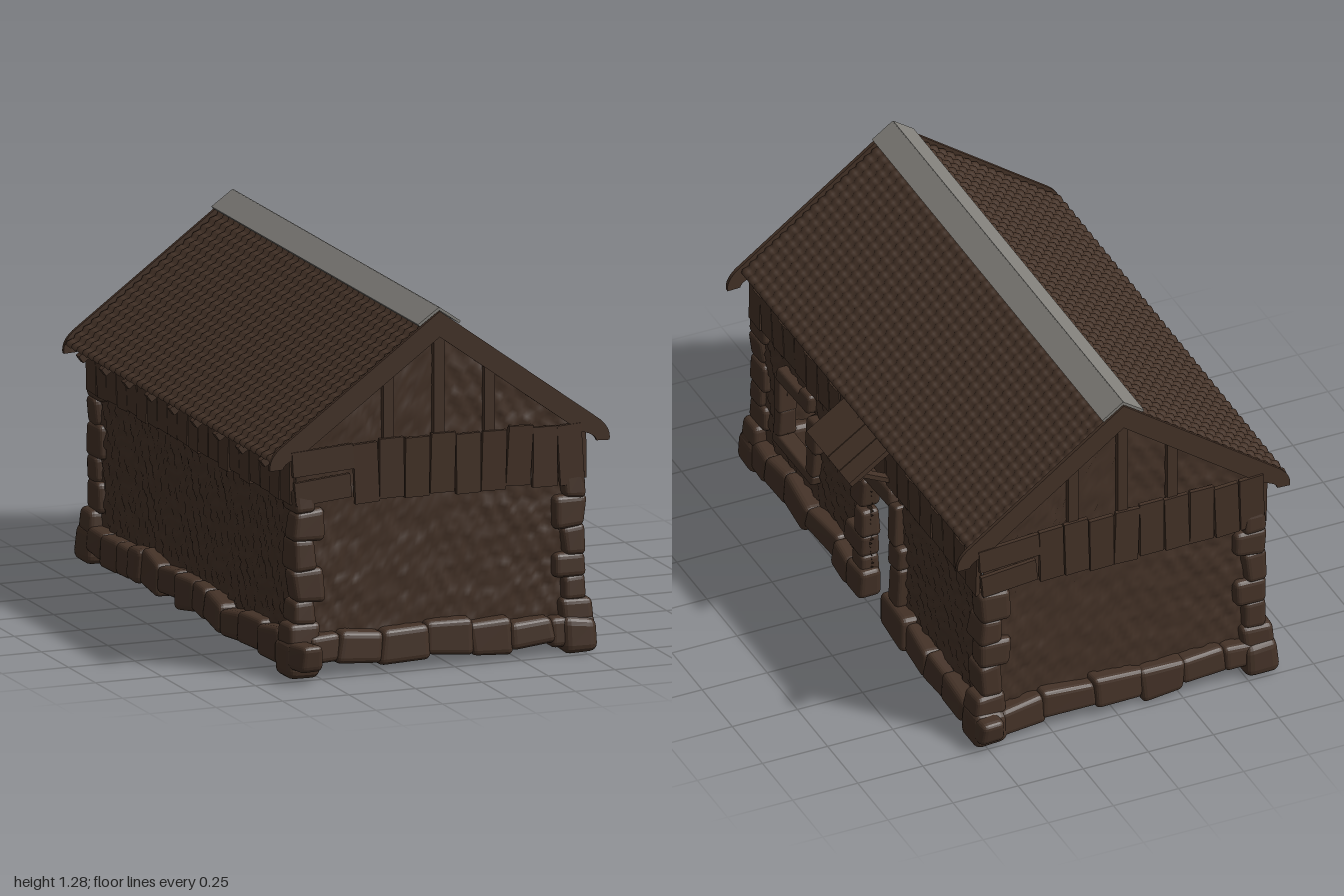
import * as THREE from 'three';
import { RoundedBoxGeometry } from 'three/addons/geometries/RoundedBoxGeometry.js';

const brown = new THREE.MeshStandardMaterial({ color: 0x443227, side: THREE.DoubleSide });
brown.name = 'dark brown';
const grey = new THREE.MeshStandardMaterial({ color: 0x83817c, side: THREE.DoubleSide });
grey.name = 'ridge grey';

const CX = -0.04;      // ridge line
const PITCH = 0.73;    // roof fall per unit of run
const HALF_X = 0.525, HALF_Z = 0.93;

function add(parent, name, geometry, material = brown) {
  const mesh = new THREE.Mesh(geometry, material);
  mesh.name = name;
  parent.add(mesh);
  return mesh;
}

export function createModel() {
  let seed = 7;
  const rnd = (a = 0, b = 1) => {
    seed = (seed * 16807) % 2147483647;
    return a + (b - a) * seed / 2147483647;
  };
  const model = new THREE.Group();
  model.name = 'cottage';

  const box = (parent, name, x, y, z, w, h, d, tilt = 0) => {
    const m = add(parent, name, new THREE.BoxGeometry(w, h, d));
    m.position.set(x, y, z);
    m.rotation.z = tilt;
    return m;
  };

  // Rounded stone, tapered and sheared so that no two are alike
  const stone = (parent, name, x, y, z, w, h, d, tilt = 0.06) => {
    const g = new RoundedBoxGeometry(w, h, d, 2, Math.min(w, h, d) * 0.24);
    const p = g.attributes.position;
    const a = rnd(-0.18, 0.18), b = rnd(-0.2, 0.2), c = rnd(-0.1, 0.1);
    for (let i = 0; i < p.count; i++) {
      const u = p.getX(i) / w, v = p.getY(i) / h;
      p.setXYZ(i, p.getX(i) * (1 + a * v) + c * v * h, p.getY(i) * (1 + b * u), p.getZ(i) * (1 - 0.15 * v));
    }
    g.computeVertexNormals();
    const m = add(parent, name, g);
    m.position.set(x, y, z);
    m.rotation.set(0, rnd(-tilt, tilt), rnd(-tilt, tilt));
    return m;
  };

  // Rough plaster sheet with rectangular openings [x0, x1, y0, y1]
  const roughWall = (half, base, top, openings) => {
    const nx = Math.round(half * 2 / 0.017), ny = 46;
    const g = new THREE.PlaneGeometry(half * 2, 1, nx, ny);
    const p = g.attributes.position;
    for (let i = 0; i < p.count; i++) {
      const x = p.getX(i), t = p.getY(i) + 0.5;
      const y = base + t * (top(x) - base);
      const lump = Math.sin(52 * x + 2.5 * Math.sin(31 * y)) * Math.sin(85 * y + 2 * Math.sin(29 * x))
        + 0.5 * Math.sin(97 * x + 60 * y);
      p.setXYZ(i, x, y, 0.006 * lump);
    }
    const kept = [], idx = g.index.array;
    for (let i = 0; i < idx.length; i += 3) {
      const tri = [idx[i], idx[i + 1], idx[i + 2]];
      const x = tri.reduce((s, k) => s + p.getX(k), 0) / 3;
      const y = tri.reduce((s, k) => s + p.getY(k), 0) / 3;
      if (!openings.some(o => x > o[0] && x < o[1] && y > o[2] && y < o[3])) kept.push(...tri);
    }
    g.setIndex(kept);
    g.computeVertexNormals();
    return g;
  };

  // One side of the house: local x runs along the wall, local z points outward
  const buildSide = (name, half, dist, angle, isGable, openings) => {
    const side = new THREE.Group();
    side.name = name;
    side.position.set(CX + Math.sin(angle) * dist, 0, Math.cos(angle) * dist);
    side.rotation.y = angle;
    model.add(side);
    const top = isGable ? x => 1.25 - PITCH * Math.abs(x) : () => 0.84;
    add(side, 'roughWall', roughWall(half, 0.07, top, openings));

    // Footing stones, left out in front of a doorway
    for (let x = -half + 0.04; x < half - 0.04;) {
      const w = rnd(0.1, 0.21), mid = x + w / 2;
      const blocked = openings.some(o => o[2] < 0.1 && mid > o[0] - 0.04 && mid < o[1] + 0.04);
      if (!blocked) stone(side, 'footingStone', mid, rnd(0.085, 0.11), 0.01, w + 0.015, rnd(0.09, 0.13), rnd(0.08, 0.1), 0.1);
      x += w;
    }

    // Weatherboard skirt below the eaves
    const end = half + 0.015;
    let x = -end;
    if (isGable) {
      box(side, 'cornerBoard', -end + 0.1, 0.78, 0.026, 0.23, 0.09, 0.016, 0.06);
      box(side, 'cornerBoard', -end + 0.1, 0.675, 0.026, 0.21, 0.085, 0.016, 0.09);
      x += 0.215;
    }
    const n = Math.round((end - x) / 0.093), step = (end - x) / n;
    for (let i = 0; i < n; i++) {
      const b = box(side, 'skirtBoard', x + step * (i + 0.5), 0.726 + rnd(-0.008, 0.008), 0.025,
        step - 0.005, isGable ? 0.215 : 0.2, 0.016, rnd(-0.06, 0.06));
      b.rotation.x = rnd(-0.02, 0.05);
    }
    box(side, 'wallPlate', 0, 0.8, -0.03, half * 2, 0.05, 0.04);

    if (isGable) {
      for (const px of [-0.19, 0, 0.19])
        box(side, 'gablePost', px, (0.8 + 1.22 - PITCH * Math.abs(px)) / 2, 0.012,
          0.038, 0.42 - PITCH * Math.abs(px), 0.024);
      // Barge boards with a rounded drop at the eaves
      for (const s of [-1, 1]) {
        const shape = new THREE.Shape();
        shape.moveTo(0, 1.275);
        shape.lineTo(s * 0.6, 0.837);
        shape.quadraticCurveTo(s * 0.645, 0.8, s * 0.638, 0.758);
        shape.lineTo(s * 0.59, 0.76);
        shape.quadraticCurveTo(s * 0.585, 0.785, s * 0.53, 0.797);
        shape.lineTo(0, 1.183);
        const board = add(side, 'bargeBoard', new THREE.ExtrudeGeometry(shape, { depth: 0.014, bevelEnabled: false }));
        board.position.z = 0.016;
      }
    }
    return side;
  };

  const windowHole = [-0.69, -0.48, 0.27, 0.51];
  const doorHole = [0, 0.215, 0, 0.54];
  buildSide('frontWall', HALF_X, HALF_Z, 0, true, []);
  buildSide('backWall', HALF_X, HALF_Z, Math.PI, true, []);
  buildSide('leftWall', HALF_Z, HALF_X, -Math.PI / 2, false, []).name = 'plainLongWall';
  const entrance = buildSide('entranceWall', HALF_Z, HALF_X, Math.PI / 2, false, [windowHole, doorHole]);

  // Door and window surrounds: x, y, width, height
  const doorStones = [
    [-0.08, 0.235, 0.15, 0.09], [-0.045, 0.13, 0.09, 0.14], [-0.035, 0.33, 0.07, 0.11], [-0.05, 0.46, 0.1, 0.13],
    [0.26, 0.12, 0.1, 0.1], [0.255, 0.24, 0.08, 0.16], [0.255, 0.365, 0.09, 0.1], [0.24, 0.49, 0.06, 0.16],
    [0.07, 0.575, 0.3, 0.075]];
  const windowStones = [
    [-0.585, 0.255, 0.32, 0.04], [-0.445, 0.33, 0.06, 0.12], [-0.44, 0.44, 0.08, 0.13],
    [-0.715, 0.33, 0.05, 0.12], [-0.715, 0.45, 0.045, 0.15], [-0.6, 0.535, 0.24, 0.05], [-0.5, 0.55, 0.085, 0.075]];
  for (const [x, y, w, h] of doorStones) stone(entrance, 'doorStone', x, y, 0, w, h, 0.075, 0.03);
  for (const [x, y, w, h] of windowStones) stone(entrance, 'windowStone', x, y, 0, w, h, 0.07, 0.03);

  // Corner stones, with a broad foot at each corner
  for (const sx of [-1, 1]) for (const sz of [-1, 1]) {
    const corner = new THREE.Group();
    corner.name = 'cornerStones';
    corner.position.set(CX + sx * HALF_X, 0, sz * HALF_Z);
    model.add(corner);
    stone(corner, 'cornerFoot', -sx * 0.005, 0.075, 0, 0.13, 0.13, 0.135);
    stone(corner, 'cornerFoot', -sx * 0.01, 0.16, -sz * 0.01, 0.12, 0.09, 0.11);
    for (let y = 0.2, i = 0; y < 0.6; i++) {
      const h = rnd(0.07, 0.12), wide = i % 2;
      const w = wide ? 0.12 : 0.085, d = wide ? 0.09 : 0.12;
      stone(corner, 'cornerStone', sx * (0.02 - w / 2 + 0.005), y + h / 2, sz * (0.035 - d / 2), w, h + 0.01, d);
      y += h;
    }
  }

  // Tiled slopes: rounded columns crossed by stepped rows
  const COLS = 38, ROWS = 20;
  for (const [s, run] of [[-1, 0.632], [1, 0.585]]) {
    const g = new THREE.PlaneGeometry(1, 1, COLS * 4, ROWS * 3);
    const p = g.attributes.position;
    for (let i = 0; i < p.count; i++) {
      const u = p.getX(i) + 0.5, v = 0.5 - p.getY(i);
      const row = v * ROWS + 1e-4;
      const lift = 0.010 * Math.abs(Math.sin(Math.PI * COLS * u)) + 0.012 * (row - Math.floor(row));
      p.setXYZ(i, CX + s * (run * v + lift * 0.59), 1.247 - PITCH * run * v + lift * 0.81, (u - 0.5) * 1.9);
    }
    g.computeVertexNormals();
    add(model, 'roofTiles', g);

    // Rafters under the slope
    for (let i = 0; i < 9; i++)
      box(model, 'rafter', CX + s * run / 2, 1.215 - PITCH * run / 2, -0.84 + i * 0.21,
        run * 1.2, 0.03, 0.03, -s * Math.atan(PITCH));

    // Ridge capping
    const cap = box(model, 'ridgeCap', CX + s * 0.038, 1.257, 0, 0.096, 0.01, 1.91, -s * 0.61);
    cap.material = grey;
  }

  // Plank canopy over the door
  const canopy = new THREE.Group();
  canopy.name = 'doorCanopy';
  model.add(canopy);
  for (const [z0, z1] of [[-0.245, -0.162], [-0.158, -0.067], [-0.063, 0.112]])
    box(canopy, 'canopyPlank', 0.605, 0.752, (z0 + z1) / 2, 0.175, 0.02, z1 - z0, -0.6);
  box(canopy, 'canopyRail', 0.635, 0.712, -0.065, 0.02, 0.02, 0.34, -0.6);
  for (const z of [-0.2, 0.08])
    box(canopy, 'canopyStrut', 0.575, 0.688, z, 0.15, 0.017, 0.035, 0.46);

  return model;
}
